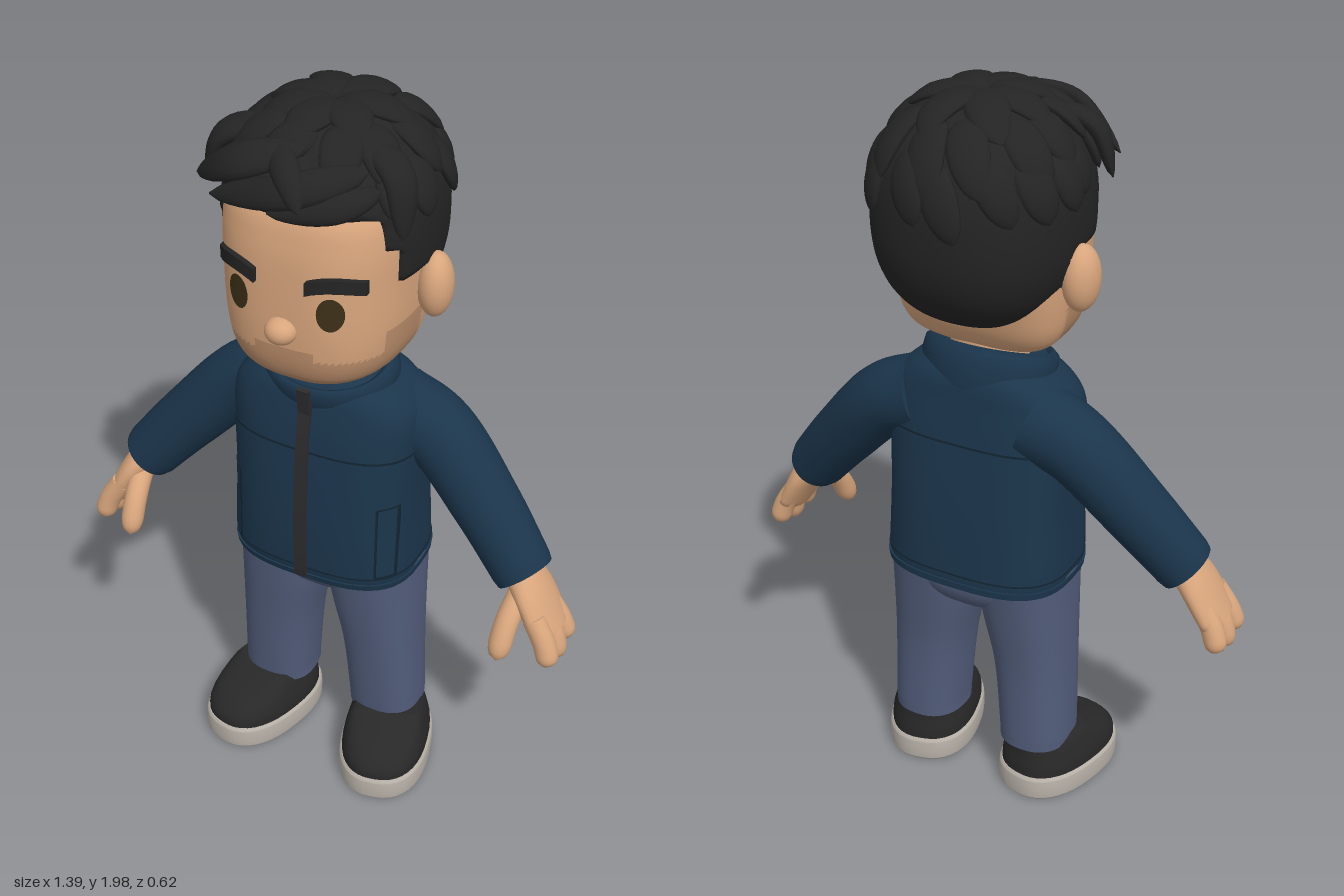
import * as THREE from 'three';

const V = (x, y, z) => new THREE.Vector3(x, y, z);
const mat = (name, color) => {
  const m = new THREE.MeshStandardMaterial({ color });
  m.name = name;
  return m;
};

// Skin over closed rings of points; duplicated rims keep the end caps crisp
function skin(rings, flip) {
  const n = rings[0].length;
  const mid = r => r.reduce((a, p) => a.add(p), V(0, 0, 0)).divideScalar(n);
  const first = rings[0], last = rings[rings.length - 1];
  const rows = [first.map(() => mid(first)), first, ...rings, last, last.map(() => mid(last))];
  const pos = [], idx = [];
  rows.forEach(r => r.forEach(p => pos.push(p.x, p.y, p.z)));
  for (let j = 0; j < rows.length - 1; j++) for (let i = 0; i < n; i++) {
    const a = j * n + i, b = j * n + (i + 1) % n, c = a + n, d = b + n;
    if (flip) idx.push(a, b, c, b, d, c); else idx.push(a, c, b, b, c, d);
  }
  const g = new THREE.BufferGeometry();
  g.setAttribute('position', new THREE.Float32BufferAttribute(pos, 3));
  g.setIndex(idx);
  g.computeVertexNormals();
  return g;
}

// Sections are [y, half width, front depth, back depth, centre x]; smooth blend between them
function at(S, y) {
  let i = 0;
  while (i < S.length - 2 && y > S[i + 1][0]) i++;
  const h = S[i + 1][0] - S[i][0], t = Math.min(1, Math.max(0, (y - S[i][0]) / h));
  const slope = (j, k) => {
    const a = S[Math.max(0, j - 1)], b = S[Math.min(S.length - 1, j + 1)];
    return (b[k] - a[k]) / (b[0] - a[0]);
  };
  return S[0].map((_, k) => k === 0 ? y :
    (1 + 2 * t) * (1 - t) ** 2 * S[i][k] + t * (1 - t) ** 2 * h * slope(i, k) +
    t * t * (3 - 2 * t) * S[i + 1][k] + t * t * (t - 1) * h * slope(i + 1, k));
}
function ring(S, y, e, n, off = 0) {
  const [, rx, zf, zb, cx = 0] = at(S, y);
  return Array.from({ length: n }, (_, i) => {
    const a = i / n * Math.PI * 2, c = Math.cos(a), s = Math.sin(a), q = 2 / e;
    return V(cx + (rx + off) * Math.sign(c) * Math.abs(c) ** q, y,
      ((s > 0 ? zf : zb) + off) * Math.sign(s) * Math.abs(s) ** q);
  });
}
function loft(S, e = 2.4, n = 40, k = 4) {
  const rings = [];
  for (let i = 0; i < S.length - 1; i++)
    for (let j = 0; j < k; j++) rings.push(ring(S, S[i][0] + (S[i + 1][0] - S[i][0]) * j / k, e, n));
  rings.push(ring(S, S[S.length - 1][0], e, n));
  return skin(rings);
}
const band = (S, e, y0, y1, off) => skin([ring(S, y0, e, 48, off), ring(S, y1, e, 48, off)]);

// Lay a flat piece onto the front of a lofted form
function drape(g, S, e, off) {
  const p = g.attributes.position;
  for (let i = 0; i < p.count; i++) {
    const [, rx, zf] = at(S, p.getY(i));
    const u = Math.min(1, Math.abs(p.getX(i) / rx));
    p.setZ(i, p.getZ(i) + zf * (1 - u ** e) ** (1 / e) + off);
  }
  g.computeVertexNormals();
  return g;
}

// Sweep an oval along a curve; size(t) gives [width, thickness], normal sets the thin direction
function sweep(points, size, normal, steps = 14, n = 14) {
  const curve = new THREE.CatmullRomCurve3(points), rings = [];
  for (let j = 0; j <= steps; j++) {
    const t = j / steps, c = curve.getPoint(t), T = curve.getTangent(t), [w, h] = size(t);
    const N = normal.clone().addScaledVector(T, -normal.dot(T)).normalize();
    const B = T.clone().cross(N);
    rings.push(Array.from({ length: n }, (_, i) => {
      const a = i / n * Math.PI * 2;
      return c.clone().addScaledVector(N, Math.cos(a) * h).addScaledVector(B, Math.sin(a) * w);
    }));
  }
  return skin(rings, true);
}
const capsule = r => t => { // rounded at the far end
  const k = t < 0.75 ? 1 : Math.sqrt(Math.max(0.0001, 1 - ((t - 0.75) / 0.25) ** 2));
  return [r * k, r * k];
};

const HEAD = [[1.315, .09, .17, .01], [1.33, .155, .215, .06], [1.37, .205, .252, .11], [1.45, .228, .268, .15],
  [1.6, .235, .27, .2], [1.72, .235, .262, .22], [1.8, .215, .235, .21], [1.88, .14, .14, .14], [1.91, .06, .06, .06]];
const TORSO = [[.68, .252, .185, .188], [.72, .256, .192, .188], [.9, .25, .19, .175], [1.1, .255, .174, .15],
  [1.19, .25, .158, .135], [1.25, .2, .14, .125], [1.285, .13, .11, .1]];

export function createModel() {
  const root = new THREE.Group();
  const M = {
    skin: mat('skin', 0xd9a67d), stubble: mat('stubble', 0xbd8f6c), hair: mat('hair', 0x242424),
    jacket: mat('jacket navy', 0x1b354b), seam: mat('seam navy', 0x122431), jeans: mat('jeans blue', 0x525d7a),
    sole: mat('sole grey', 0xb8b1a8), shoe: mat('shoe black', 0x282828), eye: mat('eye brown', 0x3c3018),
    zip: mat('zipper grey', 0x2c2c2e)
  };
  const add = (name, g, m, parent = root) => {
    const o = new THREE.Mesh(g, m);
    o.name = name;
    parent.add(o);
    return o;
  };

  // Head, with the stubble as a second face group
  const head = loft(HEAD, 2.7, 80, 8), hp = head.attributes.position, parts = [[], []];
  for (let i = 0, I = head.index.array; i < I.length; i += 3) {
    const t = [I[i], I[i + 1], I[i + 2]];
    const avg = f => t.reduce((s, v) => s + hp[f](v), 0) / 3;
    const x = Math.abs(avg('getX')), y = avg('getY'), z = avg('getZ');
    const top = z < .15 ? 1.49 : x < .08 ? 1.45 : 1.425;
    parts[z > -.01 && y < top ? 1 : 0].push(...t);
  }
  head.setIndex([...parts[0], ...parts[1]]);
  head.addGroup(0, parts[0].length, 0);
  head.addGroup(parts[0].length, parts[1].length, 1);
  add('head', head, [M.skin, M.stubble]);
  add('neck', new THREE.CylinderGeometry(.1, .105, .16, 32).translate(0, 1.29, .02), M.skin);
  add('nose', new THREE.SphereGeometry(.038, 24, 16).scale(1.05, .9, 1).translate(0, 1.5, .273), M.skin);

  for (const s of [-1, 1]) {
    const eye = new THREE.CircleGeometry(1, 28).scale(.031, .044, 1).translate(s * .12, 1.565, 0);
    add('eye', drape(eye, HEAD, 2.7, .005), M.eye);
    const brow = new THREE.BoxGeometry(.125, .034, .022, 8, 1, 1), bp = brow.attributes.position;
    for (let i = 0; i < bp.count; i++) bp.setY(i, bp.getY(i) - 3.5 * bp.getX(i) ** 2);
    add('eyebrow', drape(brow.translate(s * .128, 1.645, 0), HEAD, 2.7, .004), M.hair);
    add('ear', new THREE.SphereGeometry(1, 24, 18).scale(.045, .086, .055).rotateY(s * .2)
      .translate(s * .262, 1.545, -.012), M.skin);
  }

  // Hair cap: squarish ball cut away around the face and ears
  const hair = new THREE.Group();
  hair.name = 'hair';
  root.add(hair);
  const onHair = (d, lift = 0) => {
    const r = (Math.abs(d.x / .258) ** 2.35 + Math.abs(d.y / .287) ** 2.35 + Math.abs(d.z / .28) ** 2.35) ** (-1 / 2.35);
    return d.clone().multiplyScalar(r + lift).add(V(0, 1.682, -.01));
  };
  const cap = new THREE.SphereGeometry(1, 64, 64), cp = cap.attributes.position;
  for (let i = 0; i < cp.count; i++) {
    const p = onHair(V(0, 0, 0).fromBufferAttribute(cp, i).normalize());
    const limit = p.y > 1.79 ? 1 : p.y > 1.7 ? .16 : p.y > 1.61 ? .12 : p.y > 1.46 ? -.055 : -.1;
    cp.setXYZ(i, p.x, p.y, Math.min(p.z, limit));
  }
  cap.computeVertexNormals();
  add('hairCap', cap, M.hair, hair);

  // Overlapping locks radiating from the crown
  let seed = 7;
  const rnd = () => (seed = (seed * 16807) % 2147483647) / 2147483647 - .5;
  const lockSize = (w, h) => t => {
    const f = 1.65 * Math.sqrt(t + .002) * (1.002 - t) ** .6;
    return [w * f, h * f];
  };
  const dir = (az, pol) => V(Math.sin(pol) * Math.sin(az), Math.cos(pol), Math.sin(pol) * Math.cos(az));
  for (const [u0, u1, count, w] of [[.6, 1, 15, .062], [.34, .82, 11, .066], [.02, .52, 7, .07]])
    for (let i = 0; i < count; i++) {
      const az = (i + (u0 > .5 ? .5 : 0)) / count * Math.PI * 2 + rnd() * .2;
      const reach = (1.12 + .38 * (1 - Math.cos(az)) / 2) * (1 + rnd() * .12);
      const pts = [0, .33, .67, 1].map(t => onHair(
        dir(az - .28 * t * Math.cos(az), reach * (u0 + (u1 - u0) * t)), -.004 + .014 * t));
      add('lock', sweep(pts, lockSize(w, .024), dir(az, reach * (u0 + u1) / 2)), M.hair, hair);
    }
  // Swept fringe and temple locks
  for (const [a, b, c, w] of [
    [[.17, 1.9, .17], [.02, 1.86, .26], [-.2, 1.79, .235], .055],
    [[.2, 1.86, .17], [.12, 1.83, .24], [-.03, 1.8, .275], .045],
    [[.02, 1.93, .18], [-.12, 1.89, .23], [-.27, 1.8, .17], .06],
    [[-.1, 1.93, .08], [-.23, 1.88, .11], [-.28, 1.76, .11], .06],
    [[.12, 1.93, .08], [.22, 1.88, .12], [.25, 1.74, .15], .055],
    [[-.12, 1.92, .1], [.0, 1.9, .24], [.06, 1.83, .295], .045]])
    add('fringeLock', sweep([V(...a), V(...b), V(...c)], lockSize(w, .03),
      V(...b).sub(V(0, 1.68, 0)).normalize()), M.hair, hair);

  // Jacket body, hem, yoke seam, collar and zipper
  add('jacketBody', loft(TORSO, 2.9, 56), M.jacket);
  add('hem', band(TORSO, 2.9, .682, .7, .005), M.jacket);
  add('hemSeam', band(TORSO, 2.9, .718, .722, .002), M.seam);
  add('yokeSeam', band(TORSO, 2.9, 1.083, 1.088, .002), M.seam);
  const collar = [[.165, -.03], [.178, .01], [.182, .05], [.177, .08], [.162, .093], [.147, .083], [.14, .05], [.138, 0]];
  add('collar', new THREE.LatheGeometry(collar.map(p => new THREE.Vector2(...p)), 48)
    .scale(1, 1, .8).rotateX(.3).translate(0, 1.215, .005), M.jacket).material.side = THREE.DoubleSide;
  add('zipper', drape(new THREE.BoxGeometry(.034, .51, .012, 2, 24, 1).translate(0, .945, 0), TORSO, 2.9, .004), M.zip);
  add('collarZipper', new THREE.BoxGeometry(.034, .085, .014).rotateX(.12).translate(0, 1.225, .164), M.zip);

  for (const s of [-1, 1]) {
    // Pocket outline
    for (const [w, h, x, y] of [[.004, .22, .197, .835], [.004, .22, .236, .835], [.04, .004, .2165, .945], [.04, .004, .2165, .726]])
      add('pocketSeam', drape(new THREE.BoxGeometry(w, h, .004, 4, 8, 1).translate(s * x, y, 0), TORSO, 2.9, .002), M.seam);

    // Sleeve and cuff
    const out = V(s * .75, .66, 0);
    const arm = [V(s * .16, 1.145, -.035), V(s * .27, 1.105, -.037), V(s * .43, .945, -.005), V(s * .56, .795, .032)];
    add('sleeve', sweep(arm, t => {
      const r = .108 - .028 * t;
      return [r, r * (t > .97 ? .94 : 1)];
    }, out, 28, 32), M.jacket);

    // Hand
    const hand = new THREE.Group();
    hand.name = 'hand';
    root.add(hand);
    add('palm', sweep([V(s * .545, .815, .03), V(s * .59, .755, .04), V(s * .648, .655, .05)],
      t => [(.052 + .032 * Math.sin(Math.min(1, t * 1.3) * 1.57)) * (t > .95 ? .8 : 1), .046 - .012 * t], out, 16, 24), M.skin, hand);
    for (const [z0, z1, tip] of [[.098, .118, .59], [.05, .055, .572], [.003, -.01, .59]])
      add('finger', sweep([V(s * .615, .715, z0), V(s * .652, .655, (z0 + z1) / 2), V(s * .675, tip, z1)],
        capsule(.03), out, 16, 16), M.skin, hand);
    add('thumb', sweep([V(s * .565, .765, .06), V(s * .555, .7, .125), V(s * .55, .605, .175)],
      capsule(.031), V(s, 0, 0), 16, 16), M.skin, hand);

    // Trouser leg
    add('leg', loft([[.155, .1, .09, .115, s * .167], [.19, .101, .095, .116, s * .167], [.4, .107, .115, .12, s * .155],
      [.57, .122, .135, .142, s * .136], [.72, .128, .15, .165, s * .127]], 2.4), M.jeans);

    // Shoe with pale sole, toes turned out
    const shoe = new THREE.Group();
    shoe.name = 'shoe';
    shoe.position.set(s * .197, 0, .06);
    shoe.rotation.y = s * .25;
    root.add(shoe);
    add('sole', loft([[0, .12, .187, .182], [.008, .126, .193, .188], [.06, .126, .193, .188], [.07, .12, .188, .183]], 2.4), M.sole, shoe);
    add('shoeUpper', loft([[.062, .119, .185, .18], [.095, .118, .18, .178], [.13, .11, .145, .172],
      [.16, .1, .075, .168], [.178, .088, .03, .155]], 2.4), M.shoe, shoe);
  }
  add('hips', loft([[.565, .06, .07, .08], [.6, .15, .115, .135], [.65, .22, .138, .16], [.74, .245, .15, .165]], 2.5), M.jeans);
  return root;
}
